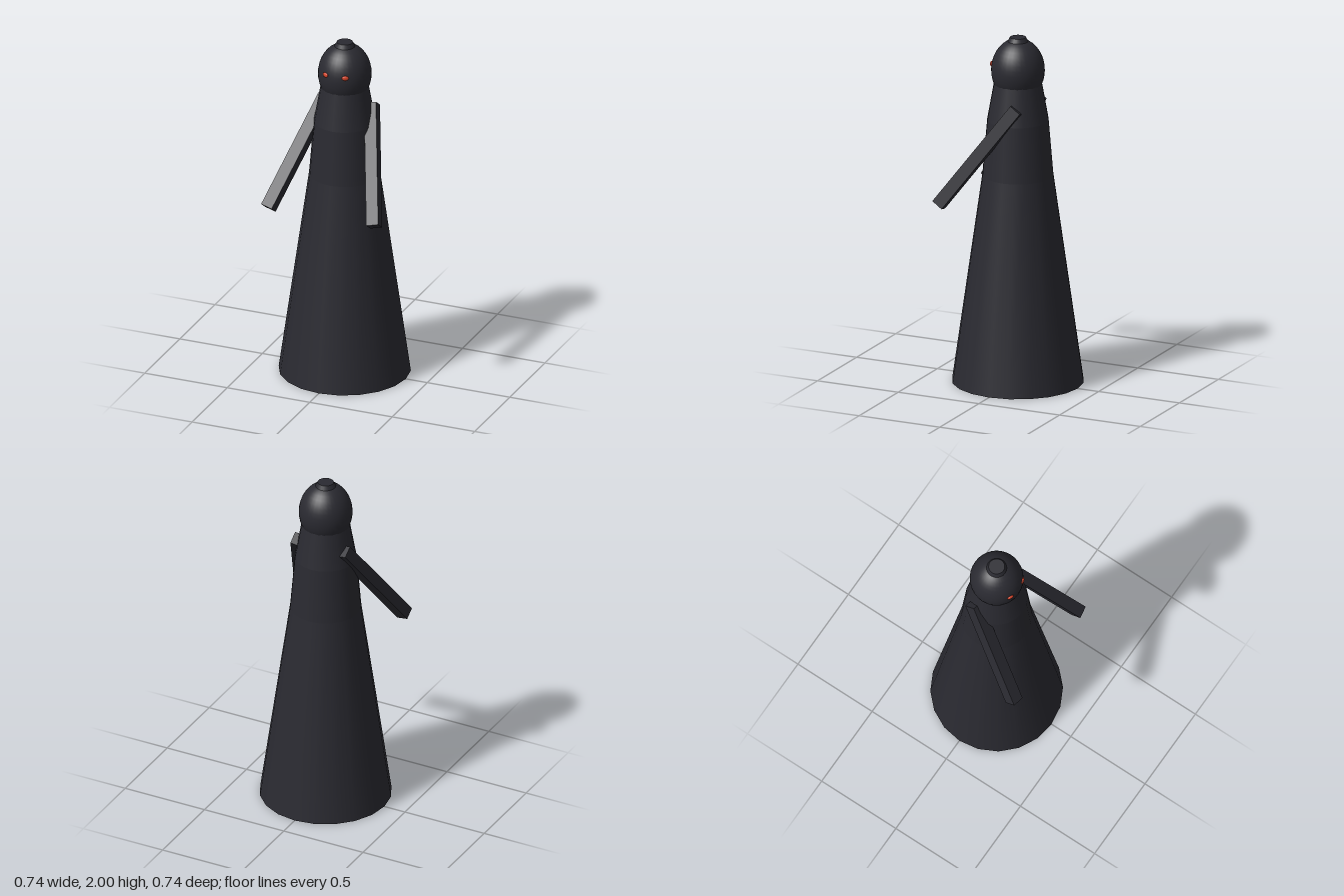
import * as THREE from 'three';

const robeDark = new THREE.MeshStandardMaterial({ color: 0x2a2a31 });
robeDark.name = 'robeDark';
const eyeRed = new THREE.MeshStandardMaterial({ color: 0xd8452a });
eyeRed.name = 'eyeRed';

export function createModel() {
  const model = new THREE.Group();
  model.name = 'hoodedFigure';

  const add = (name, geometry, material, x, y, z) => {
    const mesh = new THREE.Mesh(geometry, material);
    mesh.name = name;
    mesh.position.set(x, y, z);
    model.add(mesh);
    return mesh;
  };

  // Tapered robe sections: name, bottom y, top y, bottom radius, top radius
  const sections = [
    ['skirt', 0, 1.2, 0.37, 0.2],
    ['torso', 1.2, 1.52, 0.2, 0.173],
    ['shoulders', 1.52, 1.74, 0.173, 0.134],
  ];
  for (const [name, y0, y1, r0, r1] of sections) {
    const open = name !== 'skirt';
    add(name, new THREE.CylinderGeometry(r1, r0, y1 - y0, 20, 1, open), robeDark, 0, (y0 + y1) / 2, 0);
  }

  // Egg-shaped head with a small flat cap on top
  add('head', new THREE.SphereGeometry(0.15, 32, 20), robeDark, 0, 1.81, 0).scale.y = 1.2;
  add('cap', new THREE.CylinderGeometry(0.045, 0.06, 0.03, 24), robeDark, 0, 1.985, 0);

  // Mirrored arms and eyes
  for (const [side, s] of [['left', 1], ['right', -1]]) {
    const arm = add(side + 'Arm', new THREE.BoxGeometry(0.07, 0.705, 0.07), robeDark, s * 0.23, 1.343, 0.138);
    arm.rotation.set(-0.62, 0, s * 0.26);

    const eye = add(side + 'Eye', new THREE.SphereGeometry(0.02, 16, 10), eyeRed, s * 0.06, 1.843, 0.135);
    eye.scale.set(1, 0.7, 0.4);
    eye.rotation.y = s * 0.4;
  }
  return model;
}
